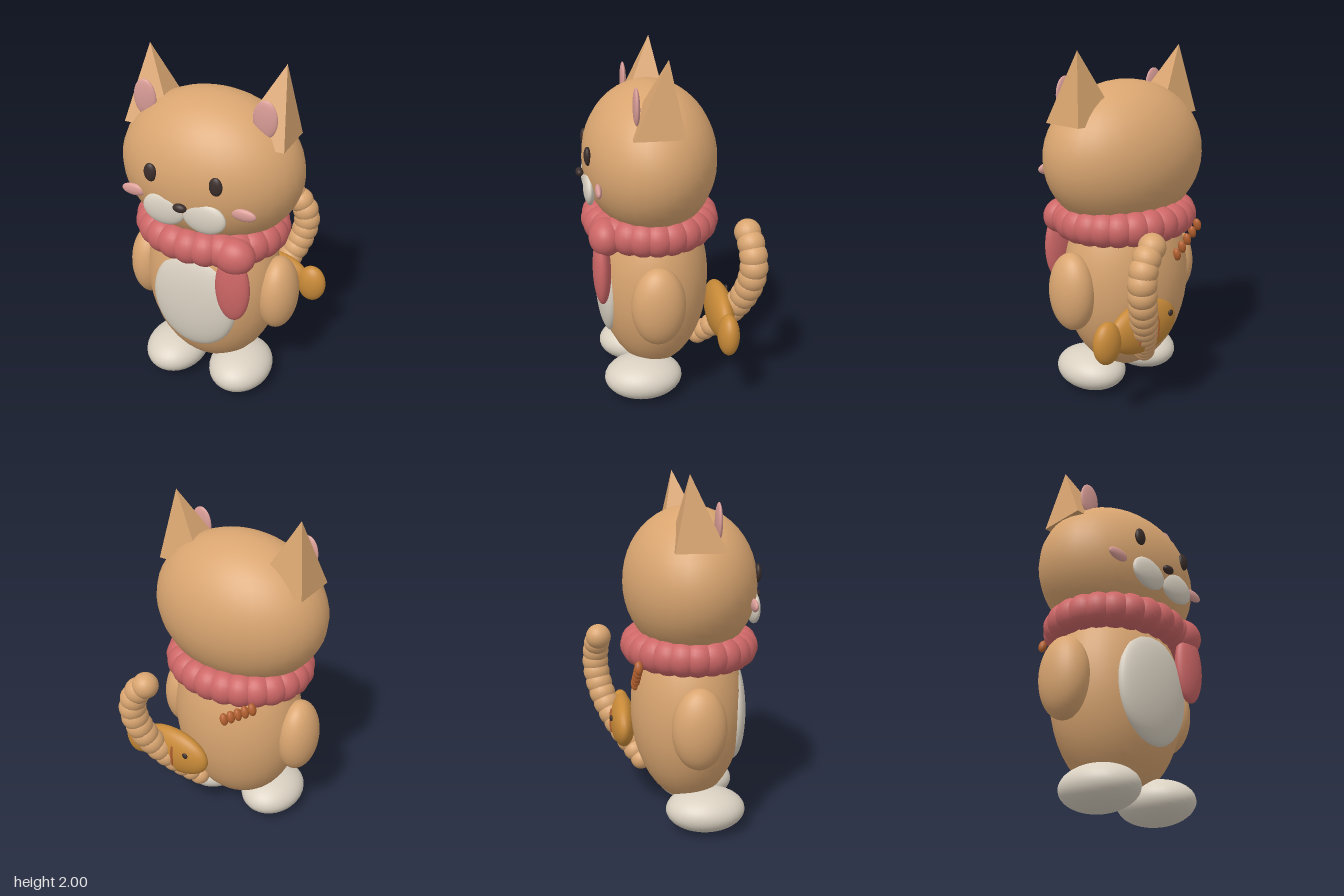
import * as THREE from 'three';

const mat = (name, color) => {
  const m = new THREE.MeshStandardMaterial({ color });
  m.name = name;
  return m;
};

export function createModel() {
  const tan = mat('tan fur', 0xd9a570);
  const cream = mat('cream', 0xd9d0c1);
  const pink = mat('soft pink', 0xd99c96);
  const red = mat('scarf red', 0xcd6666);
  const dark = mat('dark brown', 0x3b2e2b);
  const orange = mat('fish orange', 0xc88a38);
  const rust = mat('rust', 0xb4602f);

  const model = new THREE.Group();
  model.name = 'catFigure';
  const CX = -0.027; // symmetry plane of the cat

  const ball = new THREE.SphereGeometry(1, 32, 24);
  const smallBall = new THREE.SphereGeometry(1, 20, 14);

  // Ellipsoid from centre and radii
  const blob = (name, material, c, r, parent = model, geo = ball) => {
    const mesh = new THREE.Mesh(geo, material);
    mesh.name = name;
    mesh.position.set(...c);
    mesh.scale.set(...r);
    parent.add(mesh);
    return mesh;
  };
  const group = (name) => {
    const g = new THREE.Group();
    g.name = name;
    model.add(g);
    return g;
  };

  // Head, body, belly patch
  blob('head', tan, [CX, 1.405, 0.1], [0.515, 0.42, 0.373]);
  blob('body', tan, [CX, 0.68, 0.09], [0.4, 0.56, 0.325]);
  blob('belly', cream, [CX, 0.656, 0.345], [0.253, 0.31, 0.078]);

  // Four-sided ear with its tip pushed outward and back
  const earGeometry = (s) => {
    const h = 0.385;
    const g = new THREE.ConeGeometry(Math.SQRT2, h, 4, 1, false, Math.PI / 4);
    const p = g.attributes.position;
    for (let i = 0; i < p.count; i++) {
      const tip = p.getY(i) > 0;
      p.setX(i, tip ? s * 0.075 : p.getX(i) * 0.145);
      p.setZ(i, tip ? -0.053 : p.getZ(i) * 0.132);
    }
    const flat = g.toNonIndexed();
    flat.computeVertexNormals();
    return flat;
  };

  // Mirrored parts
  for (const s of [-1, 1]) {
    const side = s > 0 ? 'left' : 'right';
    const x = (d) => CX + s * d;
    const ear = new THREE.Mesh(earGeometry(s), tan);
    ear.name = side + 'Ear';
    ear.position.set(x(0.308), 1.8075, 0.1);
    model.add(ear);
    blob(side + 'InnerEar', pink, [x(0.337), 1.76, 0.203], [0.066, 0.1, 0.018]);
    blob(side + 'Eye', dark, [x(0.184), 1.472, 0.447], [0.036, 0.051, 0.02]);
    blob(side + 'Muzzle', cream, [x(0.115), 1.273, 0.442], [0.122, 0.09, 0.033]);
    blob(side + 'Cheek', pink, [x(0.315), 1.321, 0.404], [0.07, 0.034, 0.018]);
    blob(side + 'Arm', tan, [x(0.405), 0.673, 0.105], [0.117, 0.228, 0.15]);
    blob(side + 'Foot', cream, [x(0.214), 0.12, 0.172], [0.185, 0.12, 0.227]);
  }
  blob('nose', dark, [CX, 1.327, 0.486], [0.038, 0.024, 0.022]);

  // Scarf: ring of puffs, knot and hanging end
  const scarf = group('scarf');
  const PUFFS = 24;
  for (let i = 0; i < PUFFS; i++) {
    const a = (i / PUFFS) * Math.PI * 2;
    blob('scarfPuff', red,
      [CX + 0.348 * Math.cos(a), 1.048, 0.1 + 0.293 * Math.sin(a)],
      [0.097, 0.1, 0.097], scarf, smallBall);
  }
  blob('scarfKnot', red, [0.225, 1.038, 0.37], [0.116, 0.104, 0.092], scarf);
  blob('scarfEnd', red, [0.228, 0.845, 0.397], [0.1, 0.208, 0.05], scarf);

  // Tail: overlapping balls along a curve
  const tail = group('tail');
  const tailCurve = new THREE.CatmullRomCurve3([
    [0.08, 0.31, -0.17], [0.15, 0.4, -0.24], [0.225, 0.51, -0.315],
    [0.29, 0.63, -0.375], [0.335, 0.75, -0.412], [0.352, 0.86, -0.425],
    [0.325, 0.96, -0.418], [0.262, 1.03, -0.405],
  ].map((p) => new THREE.Vector3(...p)));
  const BALLS = 14;
  for (let i = 0; i < BALLS; i++) {
    const t = i / (BALLS - 1);
    const r = 0.062 + 0.018 * Math.sin(Math.PI * Math.min(1, t * 0.75));
    blob('tailBall', tan, tailCurve.getPointAt(t).toArray(), [r, r, r], tail, smallBall);
  }

  // Fish carried on the back
  const fish = group('fish');
  blob('fishBody', orange, [0.19, 0.525, -0.272], [0.245, 0.148, 0.075], fish);
  blob('fishFin', orange, [0.457, 0.508, -0.27], [0.088, 0.12, 0.06], fish);
  blob('fishEye', dark, [0.05, 0.585, -0.346], [0.018, 0.018, 0.009], fish, smallBall);
  for (const x of [0.15, 0.22, 0.285]) {
    blob('fishStripe', rust, [x, 0.535, -0.342], [0.009, 0.075, 0.012], fish, smallBall);
  }

  // Short cord of beads hanging from the scarf at the back
  const cord = group('cord');
  for (let i = 0; i < 5; i++) {
    const t = i / 4;
    const bead = blob('cordBead', rust,
      [-0.315 + 0.18 * t, 0.99 - 0.14 * t, -0.208 - 0.008 * t],
      [0.022, 0.038, 0.024], cord, smallBall);
    bead.rotation.z = -0.25;
  }

  return model;
}
